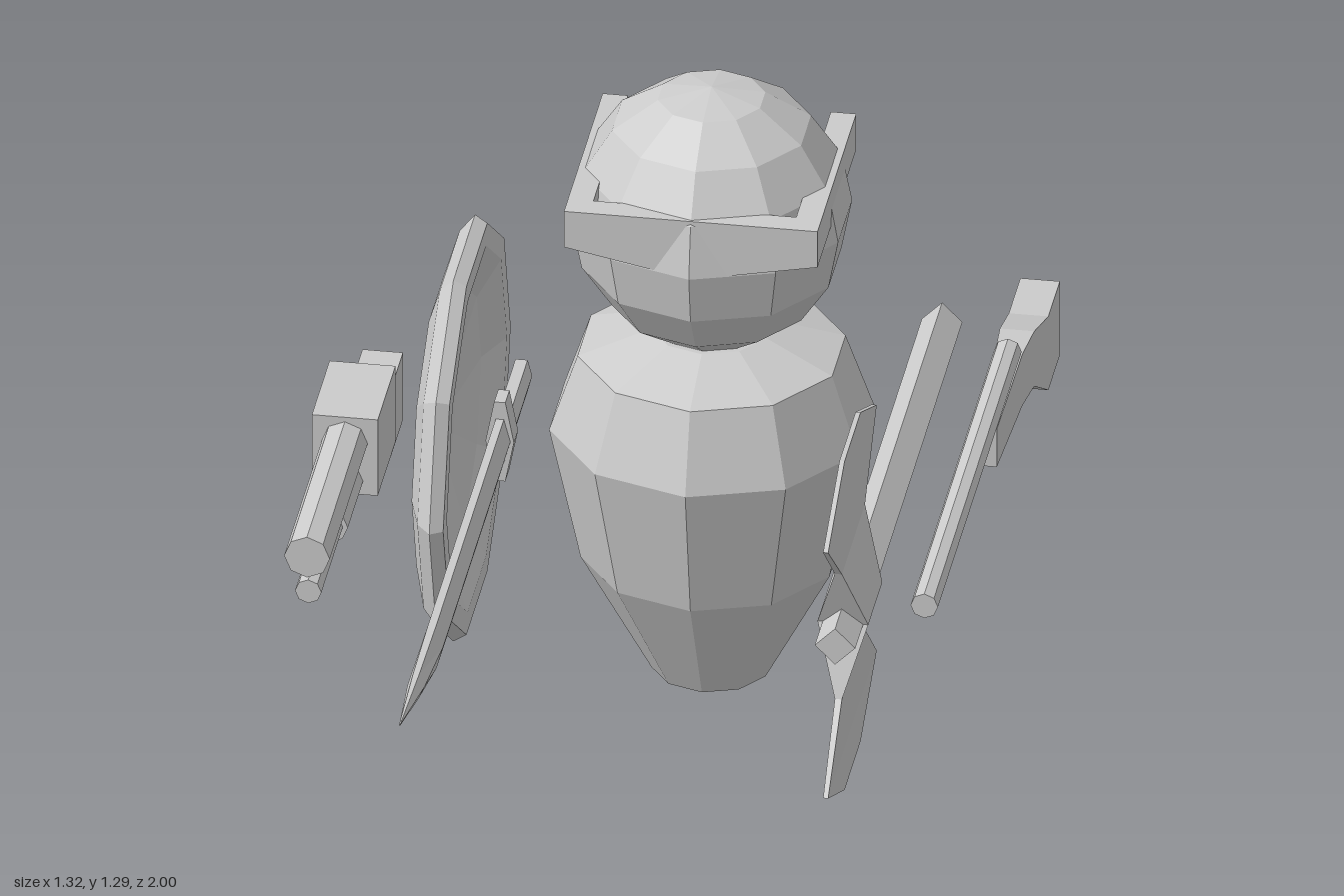
import * as THREE from 'three';

const material = new THREE.MeshStandardMaterial({ color: 0xcccccc, flatShading: true });

function add(parent, name, geometry, x = 0, y = 0, z = 0) {
  const mesh = new THREE.Mesh(geometry, material);
  mesh.name = name;
  mesh.position.set(x, y, z);
  parent.add(mesh);
  return mesh;
}

function group(parent, name, x, y, z) {
  const g = new THREE.Group();
  g.name = name;
  g.position.set(x, y, z);
  parent.add(g);
  return g;
}

// Closed solid through rings of equal length, faces always turned outward
function loft(rings) {
  const n = rings[0].length;
  const tris = [];
  for (let i = 0; i < rings.length - 1; i++) {
    for (let j = 0; j < n; j++) {
      const k = (j + 1) % n;
      const [a, b, c, d] = [rings[i][j], rings[i][k], rings[i + 1][k], rings[i + 1][j]];
      tris.push([a, b, c], [a, c, d]);
    }
  }
  const last = rings[rings.length - 1];
  for (let j = 1; j < n - 1; j++) {
    tris.push([rings[0][0], rings[0][j + 1], rings[0][j]], [last[0], last[j], last[j + 1]]);
  }
  let volume = 0;
  for (const [a, b, c] of tris) {
    volume += new THREE.Vector3(...a).dot(new THREE.Vector3(...b).cross(new THREE.Vector3(...c)));
  }
  if (volume < 0) tris.forEach((t) => t.reverse());
  const geometry = new THREE.BufferGeometry();
  geometry.setAttribute('position', new THREE.Float32BufferAttribute(tris.flat(2), 3));
  geometry.computeVertexNormals();
  return geometry;
}

// Rectangular section across z: half width, bottom, top
const rectZ = (z, w, y0, y1) => [[-w, y0, z], [w, y0, z], [w, y1, z], [-w, y1, z]];

// Pointed six-sided section across z: half width, bottom, top, edge half width
const bladeZ = (z, w, y0, y1, e) => {
  const m = (y0 + y1) / 2;
  return [[-e, y0, z], [e, y0, z], [w, m, z], [e, y1, z], [-e, y1, z], [-w, m, z]];
};

// Cylinder along z from z0 to z1
function rod(radius, z0, z1, sides = 8) {
  return new THREE.CylinderGeometry(radius, radius, z1 - z0, sides)
    .rotateX(Math.PI / 2).translate(0, 0, (z0 + z1) / 2);
}

function lathe(points, sides = 10) {
  return new THREE.LatheGeometry(points.map(([r, y]) => new THREE.Vector2(r, y)), sides);
}

export function createModel() {
  const model = new THREE.Group();
  model.name = 'armedFigure';

  // Body, head and visor
  const figure = group(model, 'figure', 0.07, 0, -0.373);
  add(figure, 'body', lathe([
    [0, 0], [0.118, 0], [0.258, 0.26], [0.32, 0.55], [0.264, 0.71], [0.12, 0.758], [0, 0.758],
  ]));
  add(figure, 'head', new THREE.SphereGeometry(0.277, 10, 8).rotateY(Math.PI / 2), 0, 1.013, 0);

  const visor = group(figure, 'visor', 0, 0, 0);
  const front = new THREE.Shape([
    [-0.25, 1.05], [0, 1.0], [0.25, 1.05], [0.25, 1.13], [-0.25, 1.13],
  ].map(([x, y]) => new THREE.Vector2(x, y)));
  add(visor, 'visorFront',
    new THREE.ExtrudeGeometry(front, { depth: 0.05, bevelEnabled: false }), 0, 0, 0.203);
  for (const s of [-1, 1]) {
    add(visor, s < 0 ? 'visorRight' : 'visorLeft',
      new THREE.BoxGeometry(0.05, 0.08, 0.42), s * 0.225, 1.09, -0.007);
  }

  // Round shield: domed outside, hollow inside
  add(model, 'shield', lathe([
    [0, -0.49], [0.12, -0.49], [0.3, -0.473], [0.39, -0.447], [0.425, -0.418],
    [0.41, -0.393], [0.365, -0.393], [0.28, -0.43], [0.12, -0.455], [0, -0.458],
  ]).rotateZ(-Math.PI / 2), 0, 0.48, -0.375);

  // Sword pointing forward
  const sword = group(model, 'sword', -0.322, 0.548, 0);
  add(sword, 'swordGrip', loft([
    bladeZ(-0.48, 0.021, -0.035, 0.035, 0.012), bladeZ(-0.25, 0.021, -0.035, 0.035, 0.012),
  ]));
  add(sword, 'swordGuard', loft([
    bladeZ(-0.265, 0.028, -0.088, 0.088, 0.011), bladeZ(-0.215, 0.028, -0.088, 0.088, 0.011),
  ]));
  add(sword, 'swordBlade', loft([
    bladeZ(-0.23, 0.021, -0.048, 0.05, 0.008),
    bladeZ(0.6, 0.021, -0.048, 0.05, 0.008),
    bladeZ(0.8, 0.017, -0.002, 0.05, 0.006),
    bladeZ(1.0, 0.001, 0.047, 0.05, 0.001),
  ]));

  // Double-bladed axe
  const axe = group(model, 'axe', 0.452, 0.55, 0);
  add(axe, 'axeHandle', rod(0.04, -0.82, 0.48, 4));
  const half = [[0.14, 0.16, 0.44, 0.007], [0.275, 0.005, 0.595, 0.005], [0.368, 0.2, 0.395, 0.005]];
  const rows = [
    ...half.map(([y, ...rest]) => [-y, ...rest]).reverse(),
    [0, 0.215, 0.385, 0.05],
    ...half,
  ];
  add(axe, 'axeHead', loft(rows.map(([y, z0, z1, w]) => [
    [-w, y, z0], [w, y, z0], [w, y, z1], [-w, y, z1],
  ])));

  // Long rifle
  const rifle = group(model, 'rifle', 0.616, 0, 0);
  add(rifle, 'rifleBarrel', rod(0.027, -0.61, 0.407), 0, 0.615, 0);
  add(rifle, 'rifleStock', loft([
    rectZ(-0.32, 0.025, 0.52, 0.605), rectZ(-0.62, 0.027, 0.49, 0.605),
    rectZ(-0.72, 0.034, 0.477, 0.6), rectZ(-0.86, 0.039, 0.39, 0.555),
    rectZ(-1, 0.039, 0.39, 0.555),
  ]));

  // Heavy twin-barrel gun
  const gun = group(model, 'heavyGun', -0.595, 0, 0);
  add(gun, 'gunBody', loft([
    rectZ(-0.015, 0.065, 0.52, 0.69), rectZ(-0.23, 0.065, 0.52, 0.69),
    rectZ(-0.33, 0.04, 0.43, 0.58), rectZ(-0.475, 0.04, 0.43, 0.58),
  ]));
  add(gun, 'gunUpperBarrel', rod(0.045, -0.02, 0.445), 0, 0.635, 0);
  add(gun, 'gunLowerBarrel', rod(0.036, -0.02, 0.17), 0, 0.55, 0);
  add(gun, 'gunLowerMuzzle', rod(0.026, 0.16, 0.43), 0, 0.55, 0);

  return model;
}
